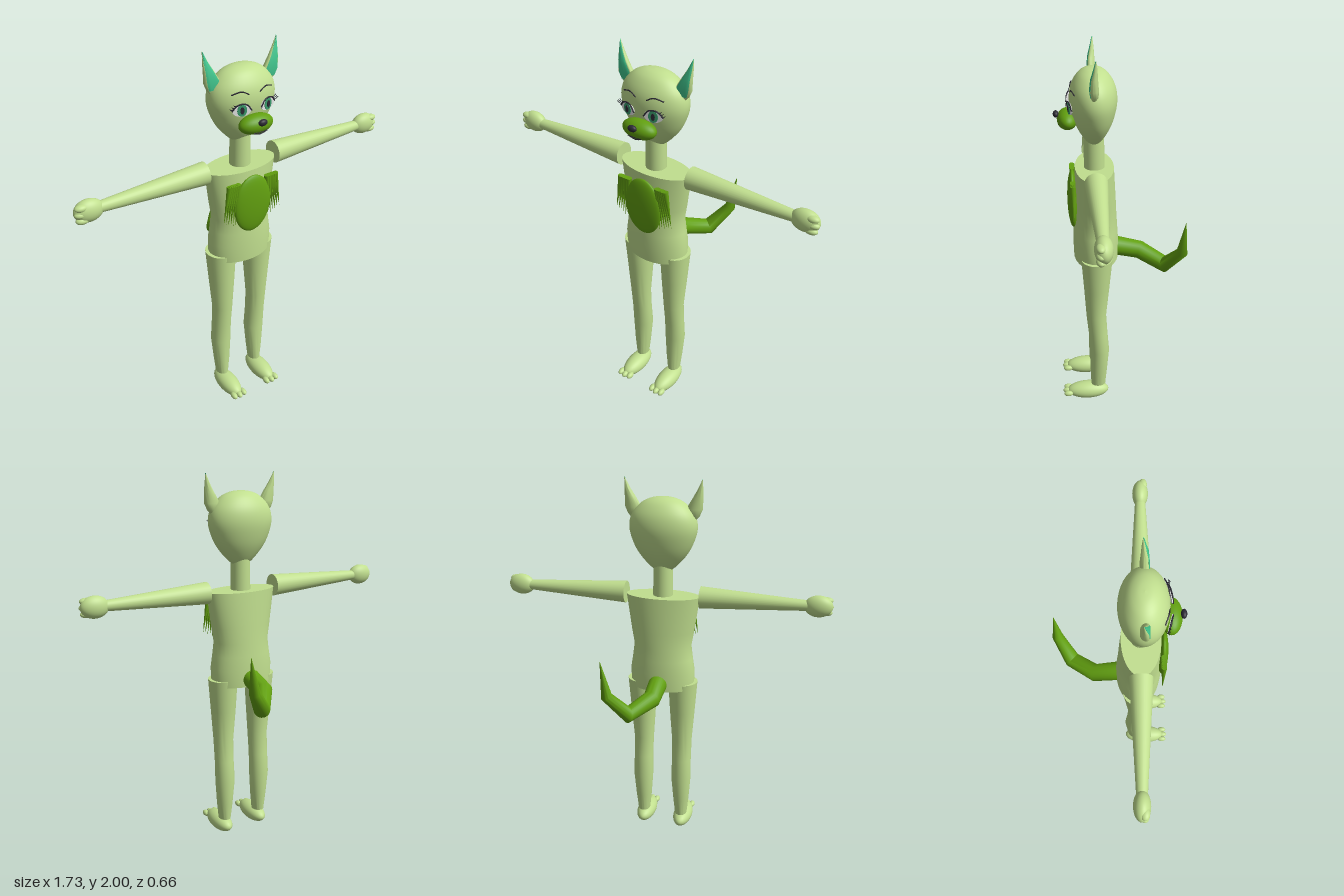
import * as THREE from 'three';
import { toCreasedNormals } from 'three/addons/utils/BufferGeometryUtils.js';

const V = (x, y, z) => new THREE.Vector3(x, y, z);
const material = (name, color) => Object.assign(new THREE.MeshStandardMaterial({ color }), { name });

// Skin through rings { c, u, v }: centre and two half axes, with u x v along the path.
// "flat" limits how far each section reaches along +u, giving a D-shaped section.
function loft(rings, flat = 1, n = 32) {
  const pos = [], idx = [], last = rings.length - 1;
  for (const { c, u, v } of rings) {
    for (let i = 0; i < n; i++) {
      const a = (i / n) * Math.PI * 2;
      const p = c.clone().addScaledVector(u, Math.min(Math.cos(a), flat)).addScaledVector(v, Math.sin(a));
      pos.push(p.x, p.y, p.z);
    }
  }
  for (let r = 0; r < last; r++) {
    for (let i = 0; i < n; i++) {
      const a = r * n + i, b = r * n + (i + 1) % n;
      idx.push(a, b, a + n, b, b + n, a + n);
    }
  }
  const bottom = pos.length / 3, top = bottom + 1;
  pos.push(...rings[0].c.toArray(), ...rings[last].c.toArray());
  for (let i = 0; i < n; i++) {
    const j = (i + 1) % n;
    idx.push(bottom, j, i, top, last * n + i, last * n + j);
  }
  const g = new THREE.BufferGeometry();
  g.setAttribute('position', new THREE.Float32BufferAttribute(pos, 3));
  g.setIndex(idx);
  return toCreasedNormals(g, 0.8);
}

// Upright ring from [x, y, z, half width, half depth]
const level = ([x, y, z, hx, hz]) => ({ c: V(x, y, z), u: V(0, 0, hz), v: V(hx, 0, 0) });

export function createModel() {
  const model = new THREE.Group();
  model.name = 'catFigure';
  const fur = material('paleGreenFur', 0xc1df8f);
  const green = material('leafGreen', 0x62a010);
  const teal = material('tealInnerEar', 0x42c990);
  const white = material('eyeWhite', 0xf0f0f0);
  const iris = material('irisGreen', 0x3a9c6c);
  const dark = material('darkLine', 0x2c2a34);

  const add = (name, geo, mat, parent = model) => {
    const m = new THREE.Mesh(geo, mat);
    m.name = name;
    parent.add(m);
    return m;
  };
  const ball = (name, mat, [x, y, z], [rx, ry, rz], parent) => {
    const m = add(name, new THREE.SphereGeometry(1, 32, 20), mat, parent);
    m.position.set(x, y, z);
    m.scale.set(rx, ry, rz);
    return m;
  };
  const line = (name, pts, r, parent) => add(name, new THREE.TubeGeometry(
    new THREE.CatmullRomCurve3(pts.map(p => V(...p))), 12, r, 6), dark, parent);

  // Torso and neck
  add('torso', loft([
    [0, 0.905, 0.125, 0.172, 0.115], [0, 1.0, 0.125, 0.174, 0.117], [0, 1.07, 0.125, 0.163, 0.113],
    [0, 1.14, 0.125, 0.154, 0.109], [0, 1.22, 0.125, 0.168, 0.106], [0, 1.41, 0.125, 0.195, 0.097],
  ].map(level), 1, 40), fur);
  add('neck', new THREE.CylinderGeometry(0.05, 0.052, 0.18, 28), fur).position.set(0, 1.48, 0.125);

  // Egg-shaped head
  const outline = new THREE.SplineCurve([
    [0, 1.537], [0.05, 1.548], [0.112, 1.61], [0.152, 1.675], [0.175, 1.755],
    [0.161, 1.825], [0.112, 1.88], [0.055, 1.906], [0, 1.912],
  ].map(p => new THREE.Vector2(...p))).getPoints(32);
  outline.forEach(p => { p.x = Math.max(p.x, 0); });
  const head = add('head', new THREE.LatheGeometry(outline, 40), fur);
  head.scale.z = 0.655;
  head.position.z = 0.125;

  // Muzzle, nose and mouth
  ball('muzzle', green, [0, 1.665, 0.25], [0.09, 0.047, 0.05]);
  ball('nose', dark, [0, 1.69, 0.304], [0.023, 0.016, 0.014]);
  line('mouth', [[-0.037, 1.64, 0.287], [0, 1.628, 0.283], [0.037, 1.64, 0.287]], 0.004);
  line('upperLip', [[-0.037, 1.64, 0.287], [0, 1.642, 0.294], [0.037, 1.64, 0.287]], 0.002);

  // Chest patch
  ball('chestPatch', green, [0, 1.235, 0.238], [0.105, 0.155, 0.027]);

  for (const s of [1, -1]) {
    const side = new THREE.Group();
    side.name = s > 0 ? 'leftParts' : 'rightParts';
    model.add(side);

    // Ear with a flat front and a thin inner plate
    const ear = [
      [0.160, 1.800, 0.128, 0.004, 0.004], [0.158, 1.822, 0.128, 0.026, 0.022], [0.157, 1.855, 0.130, 0.042, 0.026],
      [0.174, 1.910, 0.128, 0.026, 0.020], [0.186, 1.950, 0.122, 0.014, 0.012], [0.197, 2.0, 0.116, 0.001, 0.001],
    ];
    add('ear', loft(ear.map(([x, ...r]) => level([s * x, ...r])), 0.6, 24), fur, side);
    add('innerEar', loft(ear.slice(1).map(([x, y, z, hx, hz]) =>
      level([s * x, y, z + 0.6 * hz, hx * 0.78, 0.003])), 1, 12), teal, side);

    // Eye: stacked thin discs, lid line and lashes
    const eye = new THREE.Group();
    eye.name = 'eye';
    eye.position.set(s * 0.07, 1.742, 0.239);
    eye.rotation.y = s * 0.25;
    side.add(eye);
    [['eyeWhite', white, 0.045, 0.029], ['iris', iris, 0.023, 0.028], ['pupil', dark, 0.009, 0.017]]
      .forEach(([name, mat, rx, ry], i) => {
        const disc = add(name, new THREE.CylinderGeometry(1, 1, 0.004, 28), mat, eye);
        disc.rotation.x = Math.PI / 2;
        disc.scale.set(rx, 1, ry);
        disc.position.z = i * 0.003;
      });
    line('lidLine', [[-s * 0.046, -0.004, 0.003], [-s * 0.025, 0.024, 0.004], [0, 0.031, 0.004],
      [s * 0.027, 0.024, 0.004], [s * 0.048, 0, 0.002]], 0.0035, eye);
    for (let i = 0; i < 3; i++) {
      const x = s * (0.028 + i * 0.009), y = 0.024 - i * 0.008;
      line('lash', [[x, y, 0.003], [x + s * 0.01, y + 0.004, 0.008], [x + s * 0.016, y + 0.012, 0.012]], 0.0016, eye);
    }
    line('brow', [[s * 0.028, 1.806, 0.233], [s * 0.065, 1.824, 0.228], [s * 0.11, 1.812, 0.212]], 0.003, side);

    // Feather tuft beside the chest patch
    for (let i = 0; i < 6; i++) {
      const t = i / 5;
      const a = V(s * (0.082 + 0.05 * t), 1.365, 0.236);
      const b = V(s * (0.098 + 0.068 * t), 1.135 + 0.035 * t, 0.238);
      const feather = add('chestFeather', new THREE.ConeGeometry(0.014, a.distanceTo(b), 12), green, side);
      feather.position.copy(a).lerp(b, 0.5);
      feather.quaternion.setFromUnitVectors(V(0, 1, 0), b.sub(a).normalize());
    }

    // Arm, hand and fingers
    const arm = add('arm', new THREE.CylinderGeometry(0.026, 0.057, 0.55, 28), fur, side);
    arm.rotation.z = -s * Math.PI / 2;
    arm.position.set(s * 0.473, 1.41, 0.125);
    ball('hand', fur, [s * 0.793, 1.41, 0.125], [0.071, 0.055, 0.04], side);
    for (let i = -1; i <= 1; i++) {
      ball('finger', fur, [s * (0.834 - Math.abs(i) * 0.004), 1.408 + i * 0.031, 0.138], [0.032, 0.017, 0.021], side);
    }

    // Leg, foot and toes
    add('leg', loft([
      [s * 0.11, 0.10, 0.130, 0.033, 0.040], [s * 0.11, 0.20, 0.126, 0.044, 0.046],
      [s * 0.11, 0.34, 0.119, 0.055, 0.052], [s * 0.11, 0.46, 0.126, 0.053, 0.051],
      [s * 0.109, 0.58, 0.134, 0.055, 0.053], [s * 0.11, 0.76, 0.129, 0.068, 0.067],
      [s * 0.112, 0.937, 0.125, 0.079, 0.081],
    ].map(level)), fur, side);
    ball('foot', fur, [s * 0.11, 0.053, 0.19], [0.053, 0.048, 0.117], side);
    for (let i = -1; i <= 1; i++) {
      ball('toe', fur, [s * 0.11 + i * 0.03, 0.052, 0.306 - Math.abs(i) * 0.005], [0.016, 0.016, 0.026], side);
    }
  }

  // Bent tail
  const path = [
    [0, 0.95, 0.03, 0.05], [0, 0.915, -0.105, 0.047], [0.09, 0.873, -0.232, 0.043],
    [0.176, 0.995, -0.305, 0.029], [0.202, 1.18, -0.315, 0.001],
  ];
  const points = path.map(p => V(p[0], p[1], p[2]));
  const rings = path.map((p, i) => {
    const dir = (a, b) => points[Math.min(b, 4)].clone().sub(points[Math.max(a, 0)]).normalize();
    const t = V(0, 0, 0);
    if (i > 0) t.add(dir(i - 1, i));
    if (i < 4) t.add(dir(i, i + 1));
    t.normalize();
    const u = V(1, 0, 1).cross(t).normalize();
    const v = t.clone().cross(u);
    return { c: points[i], u: u.multiplyScalar(p[3]), v: v.multiplyScalar(p[3]) };
  });
  add('tail', loft(rings, 1, 24), green);

  return model;
}
